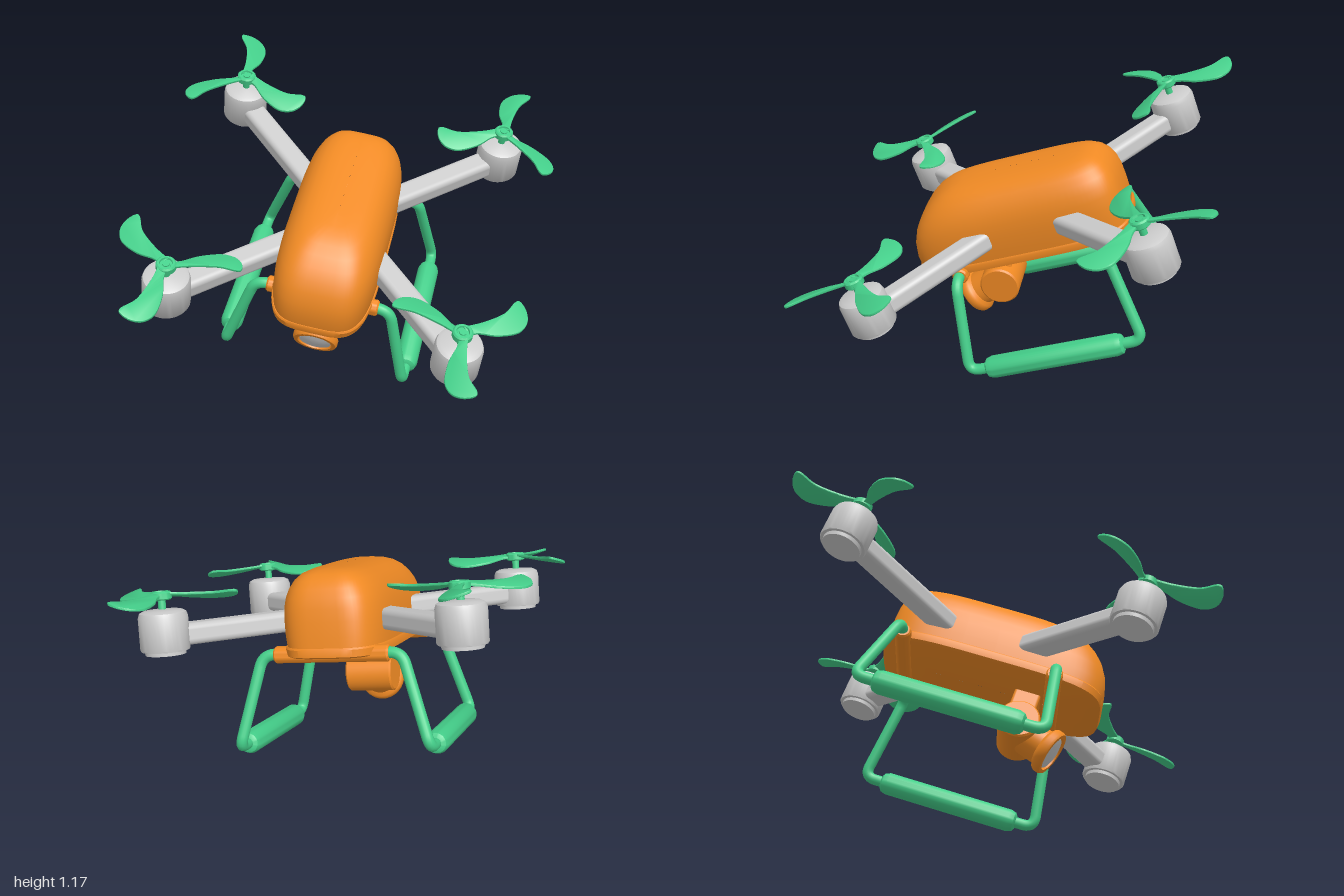
import * as THREE from 'three';
import { toCreasedNormals } from 'three/addons/utils/BufferGeometryUtils.js';
import { RoundedBoxGeometry } from 'three/addons/geometries/RoundedBoxGeometry.js';

const rad = THREE.MathUtils.degToRad;
const grey = new THREE.MeshStandardMaterial({ color: 0xcccccc });
const orange = new THREE.MeshStandardMaterial({ color: 0xf08a24 });
const green = new THREE.MeshStandardMaterial({ color: 0x44cf8a });

function add(parent, name, geometry, material, x = 0, y = 0, z = 0) {
  const mesh = new THREE.Mesh(geometry, material);
  mesh.name = name;
  mesh.position.set(x, y, z);
  parent.add(mesh);
  return mesh;
}

// Turned part around y, with sharp edges kept
function turned(points, sides = 40) {
  const profile = points.map(([r, y]) => new THREE.Vector2(r, y));
  return toCreasedNormals(new THREE.LatheGeometry(profile, sides), 0.6);
}

// Stacked rounded-rectangle sections: [height, half width, back z, front z]
function loft(levels, sides = 72) {
  const pos = [], index = [];
  const soft = (t) => Math.sign(t) * Math.sqrt(Math.abs(t));
  for (const [y, w, back, front] of levels) {
    for (let i = 0; i < sides; i++) {
      const a = (i / sides) * Math.PI * 2;
      pos.push(w * soft(Math.cos(a)), y, (front + back) / 2 + ((front - back) / 2) * soft(Math.sin(a)));
    }
  }
  for (let j = 0; j < levels.length - 1; j++) {
    for (let i = 0; i < sides; i++) {
      const a = j * sides + i, b = j * sides + ((i + 1) % sides);
      index.push(a, a + sides, b, b, a + sides, b + sides);
    }
  }
  const g = new THREE.BufferGeometry();
  g.setAttribute('position', new THREE.Float32BufferAttribute(pos, 3));
  g.setIndex(index);
  return toCreasedNormals(g, 0.7);
}

// Tube through points with rounded corners
function bentTube(points, radius, bend) {
  const p = points.map((q) => new THREE.Vector3(...q));
  const path = new THREE.CurvePath();
  let from = p[0];
  for (let i = 1; i < p.length - 1; i++) {
    const a = p[i].clone().add(p[i - 1].clone().sub(p[i]).setLength(bend));
    const b = p[i].clone().add(p[i + 1].clone().sub(p[i]).setLength(bend));
    path.add(new THREE.LineCurve3(from, a));
    path.add(new THREE.QuadraticBezierCurve3(a, p[i], b));
    from = b;
  }
  path.add(new THREE.LineCurve3(from, p[p.length - 1]));
  return new THREE.TubeGeometry(path, 160, radius, 16);
}

// Curved, twisted blade lying along +x; spin picks the handedness
function bladeGeometry(spin) {
  const pt = (u, v) => new THREE.Vector2(u, v * spin);
  const shape = new THREE.Shape();
  shape.moveTo(0.02, -0.015 * spin);
  shape.splineThru([
    pt(0.1, 0.005), pt(0.2, 0.015), pt(0.27, -0.002), pt(0.289, 0.008), pt(0.284, 0.05),
    pt(0.255, 0.085), pt(0.2, 0.097), pt(0.12, 0.07), pt(0.06, 0.03), pt(0.02, 0.015),
  ]);
  const g = new THREE.ExtrudeGeometry(shape, {
    depth: 0.005, bevelThickness: 0.003, bevelSize: 0.003, bevelSegments: 2, curveSegments: 40,
  });
  g.rotateX(Math.PI / 2);
  const p = g.attributes.position;
  for (let i = 0; i < p.count; i++) p.setY(i, p.getY(i) - 0.3 * spin * p.getZ(i) + 0.008);
  return toCreasedNormals(g, 0.6);
}

// Arm, motor and propeller, all along +x of their own group
function rotorArm(heading, tipAngle, spin) {
  const group = new THREE.Group();
  group.name = 'rotorArm';
  group.rotation.y = -rad(heading);
  const reach = 0.824;
  add(group, 'arm', new RoundedBoxGeometry(0.66, 0.085, 0.1, 4, 0.025), grey, 0.45, -0.155, 0);
  add(group, 'motor', turned([
    [0, -0.225], [0.078, -0.225], [0.08, -0.21], [0.092, -0.21], [0.096, -0.203], [0.096, -0.08],
    [0.09, -0.063], [0.075, -0.055], [0, -0.05],
  ]), grey, reach, 0, 0);
  const propeller = new THREE.Group();
  propeller.name = 'propeller';
  propeller.position.x = reach;
  propeller.rotation.y = -rad(tipAngle - heading);
  group.add(propeller);
  add(propeller, 'shaft', new THREE.CylinderGeometry(0.015, 0.015, 0.08, 20), green, 0, -0.025, 0);
  add(propeller, 'hub', turned([
    [0, -0.015], [0.034, -0.015], [0.04, -0.01], [0.04, 0.012], [0.034, 0.018], [0.026, 0.018],
    [0.024, 0.01], [0, 0.01],
  ], 32), green);
  const blade = bladeGeometry(spin);
  for (let i = 0; i < 3; i++) {
    add(propeller, 'blade', blade, green).rotation.y = (i * Math.PI * 2) / 3;
  }
  return group;
}

function landingLeg(side) {
  const group = new THREE.Group();
  group.name = 'landingLeg';
  const x = side;
  add(group, 'legTube', bentTube([
    [0.2 * x, -0.275, 0.32], [0.285 * x, -0.275, 0.325], [0.39 * x, -0.64, 0.38],
    [0.39 * x, -0.64, -0.38], [0.285 * x, -0.275, -0.325], [0.2 * x, -0.275, -0.32],
  ], 0.023, 0.05), green);
  const sleeve = turned([
    [0, -0.3], [0.028, -0.3], [0.04, -0.292], [0.047, -0.27], [0.047, 0.27],
    [0.04, 0.292], [0.028, 0.3], [0, 0.3],
  ], 32);
  add(group, 'skidSleeve', sleeve, green, 0.39 * x, -0.64, 0).rotation.x = Math.PI / 2;
  return group;
}

function gimbalCamera() {
  const group = new THREE.Group();
  group.name = 'gimbalCamera';
  group.position.set(0, -0.44, 0.23);
  add(group, 'bracket', new RoundedBoxGeometry(0.115, 0.19, 0.11, 3, 0.012), orange, 0, 0.09, -0.01);
  add(group, 'pivot', turned([
    [0, -0.1], [0.078, -0.1], [0.085, -0.093], [0.085, 0.093], [0.078, 0.1], [0, 0.1],
  ]), orange).rotation.z = Math.PI / 2;
  // Barrel points forward and slightly down
  const barrel = new THREE.Group();
  barrel.name = 'barrel';
  barrel.rotation.x = Math.PI / 2 + rad(20);
  group.add(barrel);
  add(barrel, 'barrelTube', turned([
    [0, 0], [0.075, 0], [0.075, 0.125], [0.09, 0.135], [0.096, 0.145], [0.096, 0.165],
    [0.09, 0.175], [0.074, 0.175], [0.072, 0.16], [0, 0.16],
  ]), orange);
  add(barrel, 'lens', turned([[0.071, 0.16], [0.066, 0.17], [0.045, 0.177], [0.02, 0.181], [0, 0.182]]), grey);
  return group;
}

export function createModel() {
  const model = new THREE.Group();
  model.name = 'quadcopter';

  // Everything is built level, then banked as one craft
  const craft = new THREE.Group();
  craft.name = 'craft';
  craft.position.y = 0.8;
  craft.rotation.set(rad(20), rad(-25), rad(-0.8));
  model.add(craft);

  // Loaf-shaped shell with raked nose
  add(craft, 'shell', loft([
    [-0.25, 0.208, -0.408, 0.522], [-0.2, 0.212, -0.412, 0.522], [-0.14, 0.212, -0.413, 0.508],
    [-0.09, 0.208, -0.412, 0.483], [-0.05, 0.198, -0.406, 0.452], [-0.015, 0.182, -0.394, 0.415],
    [0.015, 0.16, -0.375, 0.372], [0.037, 0.132, -0.35, 0.328], [0.05, 0.098, -0.318, 0.282],
    [0.056, 0.06, -0.28, 0.235], [0.058, 0.0001, -0.2, 0.15],
  ]), orange);
  add(craft, 'basePlate', loft([
    [-0.285, 0.0001, -0.2, 0.3], [-0.285, 0.2, -0.4, 0.51], [-0.279, 0.212, -0.412, 0.524],
    [-0.25, 0.216, -0.416, 0.528], [-0.243, 0.212, -0.412, 0.524], [-0.243, 0.19, -0.39, 0.5],
  ]), orange);

  // Cross bars that hold the legs
  for (const z of [0.32, -0.32]) {
    add(craft, 'crossBar', turned([
      [0, -0.235], [0.028, -0.235], [0.034, -0.228], [0.034, 0.228], [0.028, 0.235], [0, 0.235],
    ], 28), orange, 0, -0.277, z).rotation.z = Math.PI / 2;
  }
  for (const side of [1, -1]) craft.add(landingLeg(side));

  craft.add(gimbalCamera());

  // Heading, blade tip angle, spin direction
  for (const [heading, tip, spin] of [[45, 71, 1], [135, 109, -1], [225, 11, 1], [315, 47, -1]]) {
    craft.add(rotorArm(heading, tip, spin));
  }
  return model;
}
